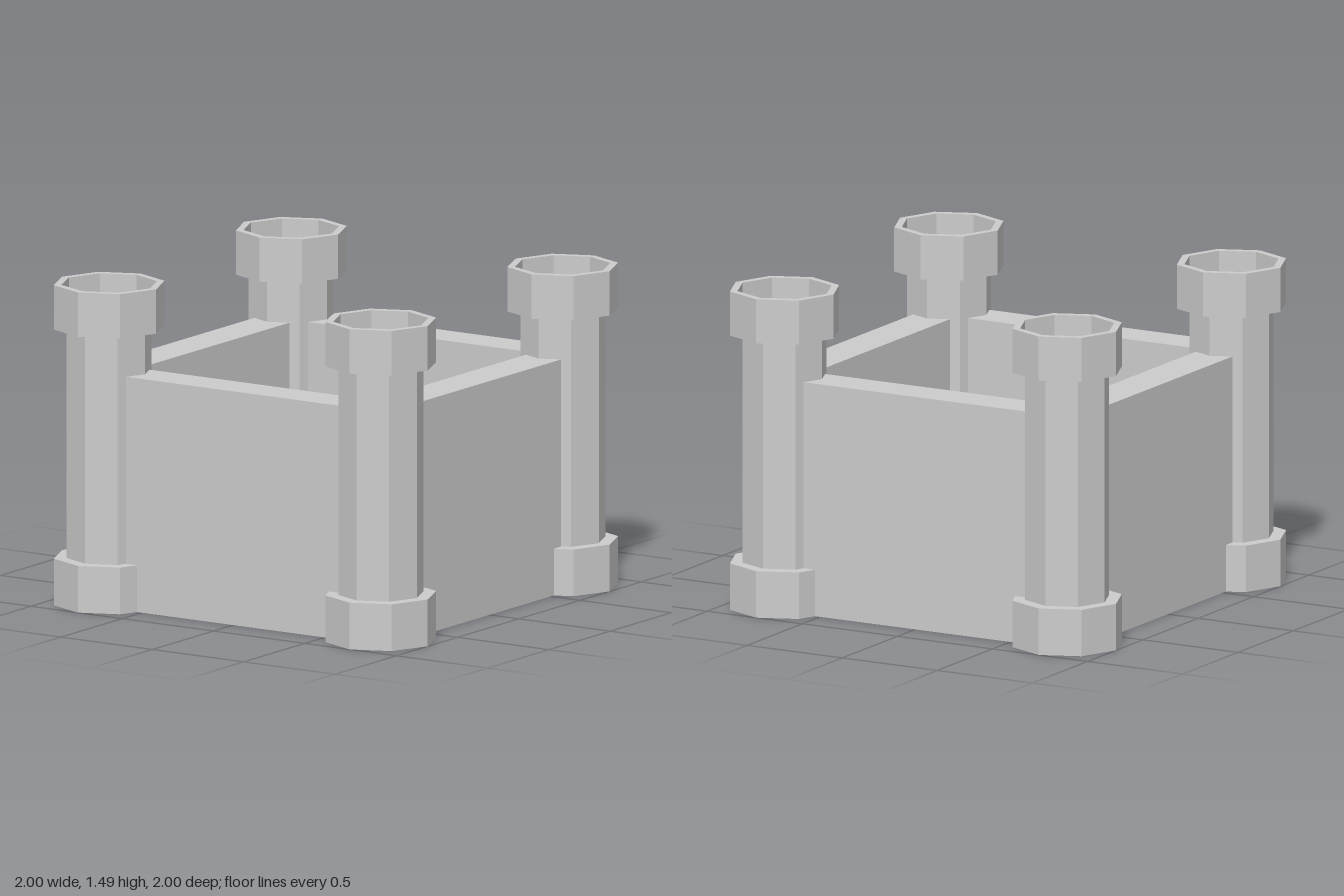
import * as THREE from 'three';

const C = 0.743;          // distance of tower and wall centre lines from the middle
const BASE_R = 0.257;     // plinth and cap radius
const SHAFT_R = 0.197;
const WALL_H = 1.085;
const WALL_T = 0.193;

const stone = new THREE.MeshStandardMaterial({ color: 0xcccccc, flatShading: true });

// Octagonal part turned from a bottom-to-top [radius, y] profile
function octagon(name, profile) {
  const points = profile.map(([r, y]) => new THREE.Vector2(r, y));
  const mesh = new THREE.Mesh(new THREE.LatheGeometry(points, 8), stone);
  mesh.name = name;
  return mesh;
}

function createTower() {
  const tower = new THREE.Group();
  tower.name = 'tower';
  // Plinth, shaft and overhanging cap with a sunken floor
  tower.add(
    octagon('plinth', [[0, 0], [BASE_R, 0], [BASE_R, 0.217], [SHAFT_R, 0.217]]),
    octagon('shaft', [[SHAFT_R, 0.217], [SHAFT_R, 1.28]]),
    octagon('cap', [
      [SHAFT_R, 1.28], [BASE_R, 1.28], [BASE_R, 1.486],
      [0.221, 1.486], [0.221, 1.376], [0, 1.376],
    ]),
  );
  return tower;
}

export function createModel() {
  const fort = new THREE.Group();
  fort.name = 'fort';

  // Corner towers
  for (const sx of [-1, 1]) {
    for (const sz of [-1, 1]) {
      const tower = createTower();
      tower.position.set(sx * C, 0, sz * C);
      fort.add(tower);
    }
  }

  // Four curtain walls running between tower centres
  const wallGeometry = new THREE.BoxGeometry(2 * C, WALL_H, WALL_T);
  ['frontWall', 'leftWall', 'backWall', 'rightWall'].forEach((name, i) => {
    const angle = i * Math.PI / 2;
    const wall = new THREE.Mesh(wallGeometry, stone);
    wall.name = name;
    wall.position.set(Math.sin(angle) * C, WALL_H / 2, Math.cos(angle) * C);
    wall.rotation.y = angle;
    fort.add(wall);
  });

  return fort;
}
